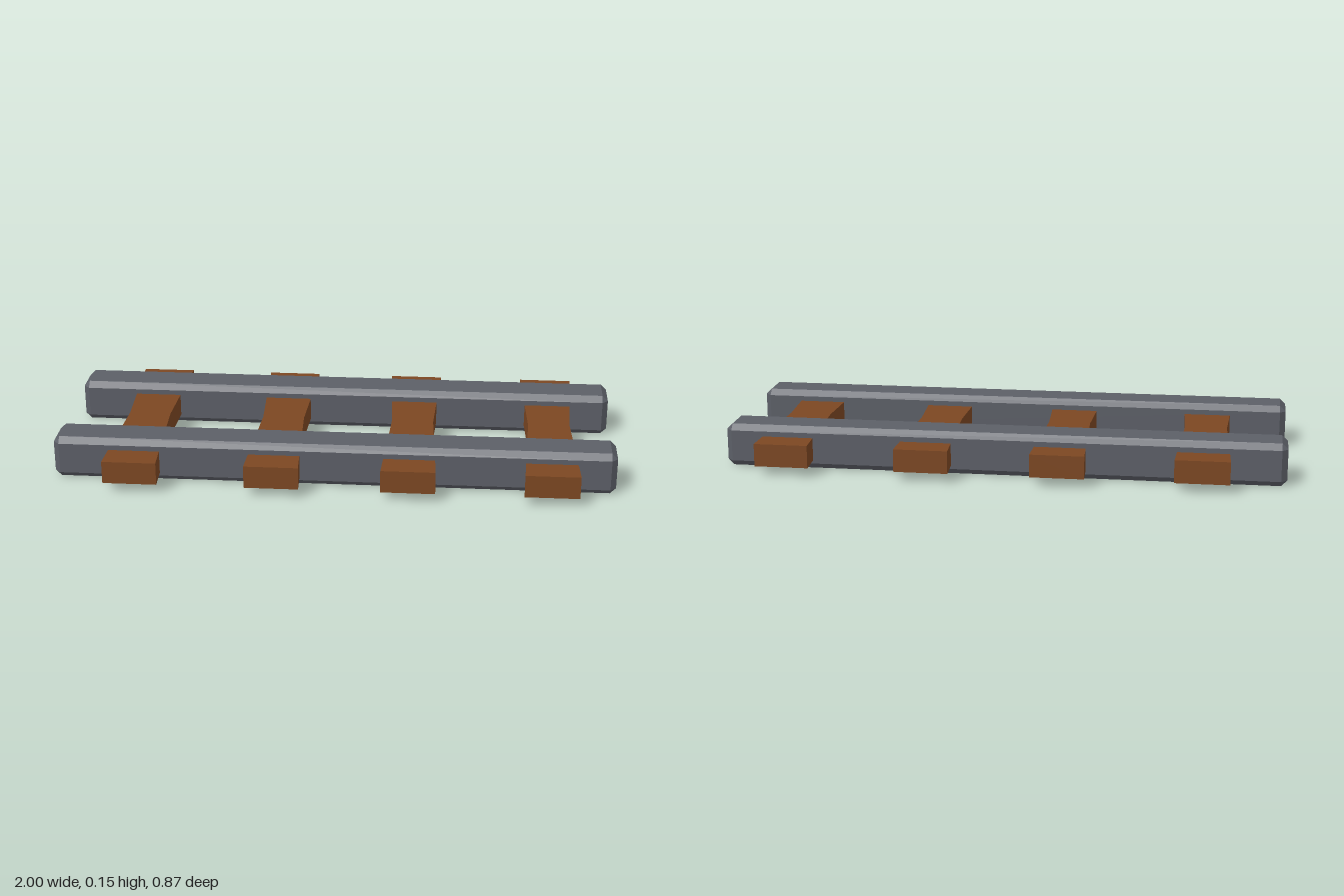
import * as THREE from 'three';
import { ConvexGeometry } from 'three/addons/geometries/ConvexGeometry.js';

// Box with every edge and corner cut flat; hx, hy, hz are half sizes
function chamferedBox(hx, hy, hz, c) {
  const points = [];
  for (const sx of [-1, 1]) for (const sy of [-1, 1]) for (const sz of [-1, 1]) {
    points.push(
      new THREE.Vector3(sx * hx, sy * (hy - c), sz * (hz - c)),
      new THREE.Vector3(sx * (hx - c), sy * hy, sz * (hz - c)),
      new THREE.Vector3(sx * (hx - c), sy * (hy - c), sz * hz)
    );
  }
  return new ConvexGeometry(points);
}

// Plank seen from above, narrowing towards its middle
function waistedPlank(endHalf, midHalf, halfLength, height) {
  const shape = new THREE.Shape([
    [-endHalf, -halfLength], [endHalf, -halfLength], [midHalf, 0],
    [endHalf, halfLength], [-endHalf, halfLength], [-midHalf, 0],
  ].map(([x, y]) => new THREE.Vector2(x, y)));
  return new THREE.ExtrudeGeometry(shape, { depth: height, bevelEnabled: false })
    .rotateX(-Math.PI / 2);
}

export function createModel() {
  const model = new THREE.Group();
  model.name = 'trackSection';

  const steel = new THREE.MeshStandardMaterial({ color: 0x5c5f67 });
  steel.name = 'grey steel';
  const wood = new THREE.MeshStandardMaterial({ color: 0x7c4722 });
  wood.name = 'brown wood';

  // Two rails running along x
  const railGeometry = chamferedBox(1, 0.077, 0.076, 0.021);
  for (const side of [1, -1]) {
    const rail = new THREE.Mesh(railGeometry, steel);
    rail.name = side > 0 ? 'frontRail' : 'backRail';
    rail.position.set(0, 0.077, side * 0.258);
    model.add(rail);
  }

  // Four wooden sleepers passing through the rails
  const sleeperGeometry = waistedPlank(0.096, 0.076, 0.434, 0.082);
  [-0.709, -0.208, 0.271, 0.772].forEach((x, i) => {
    const sleeper = new THREE.Mesh(sleeperGeometry, wood);
    sleeper.name = `sleeper${i + 1}`;
    sleeper.position.set(x, 0.033, 0);
    model.add(sleeper);
  });

  return model;
}
